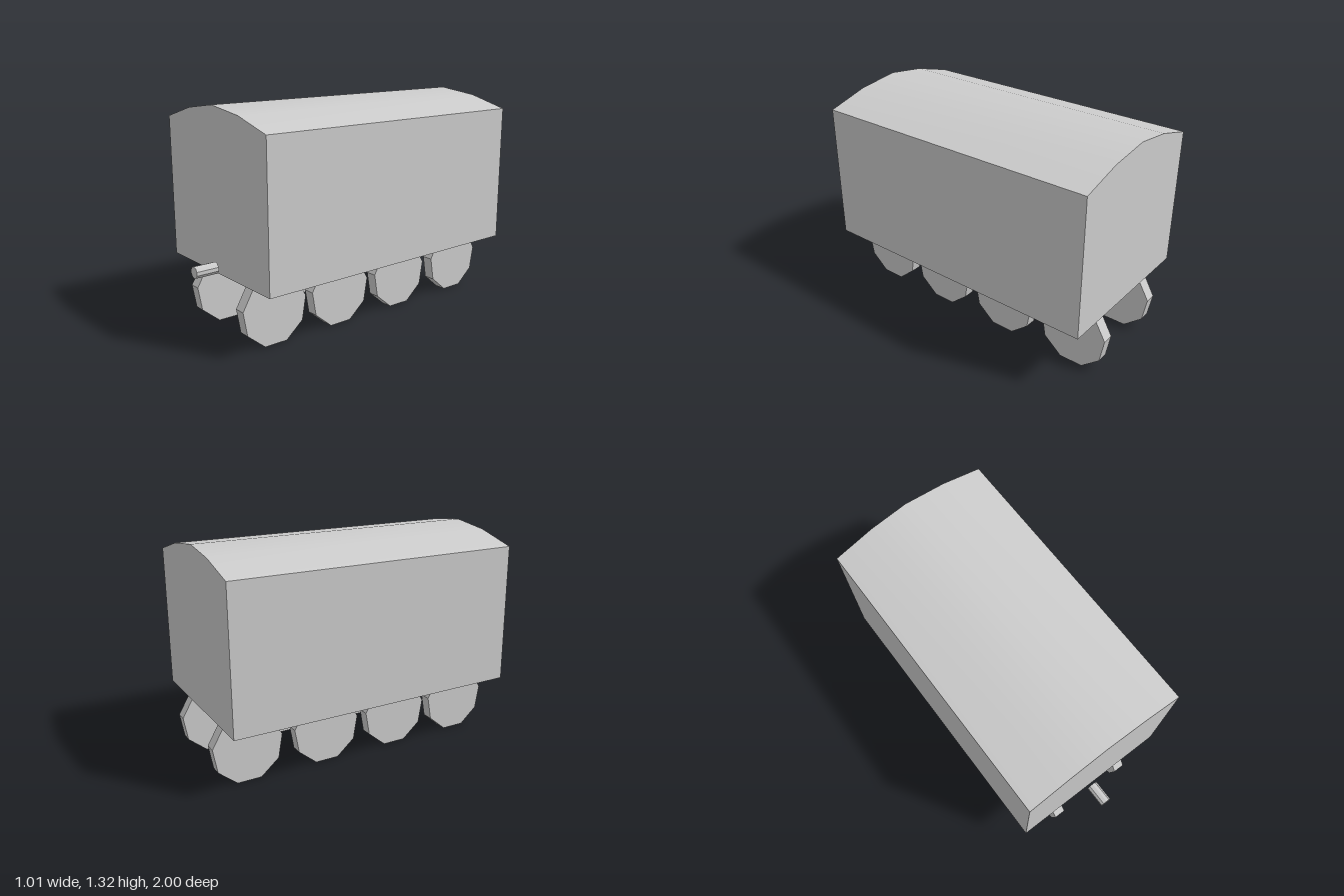
import * as THREE from 'three';
import { toCreasedNormals } from 'three/addons/utils/BufferGeometryUtils.js';

export function createModel() {
  const group = new THREE.Group();
  const smooth = new THREE.MeshStandardMaterial({ color: 0xcccccc });
  const flat = new THREE.MeshStandardMaterial({ color: 0xcccccc, flatShading: true });

  const add = (name, geometry, material, x, y, z) => {
    const mesh = new THREE.Mesh(geometry, material);
    mesh.name = name;
    mesh.position.set(x, y, z);
    group.add(mesh);
  };

  // Wagon body: box section with a shallow arched roof, extruded along z
  const section = new THREE.Shape([
    [-0.505, 0.377], [0.503, 0.377], [0.503, 1.217], [0.25, 1.287],
    [-0.012, 1.32], [-0.255, 1.287], [-0.505, 1.217],
  ].map(([x, y]) => new THREE.Vector2(x, y)));
  const body = new THREE.ExtrudeGeometry(section, { depth: 1.807, bevelEnabled: false });
  add('body', toCreasedNormals(body, 0.5), smooth, 0, 0, -0.96);

  // Four pairs of nine-sided wheels, flat side on the ground
  const wheel = new THREE.CylinderGeometry(0.213, 0.213, 0.07, 9, 1, false, Math.PI / 2);
  wheel.rotateZ(Math.PI / 2);
  [0.661, 0.193, -0.29, -0.79].forEach((z, i) => {
    for (const side of [1, -1]) {
      add(`${side > 0 ? 'left' : 'right'}Wheel${i + 1}`, wheel, flat, side * 0.245, 0.2, z);
    }
  });

  // Coupling pin ahead of the front wall
  const pin = new THREE.CylinderGeometry(0.035, 0.035, 0.135, 10);
  pin.rotateX(Math.PI / 2);
  add('couplingPin', pin, flat, -0.002, 0.416, 0.9325);

  return group;
}
